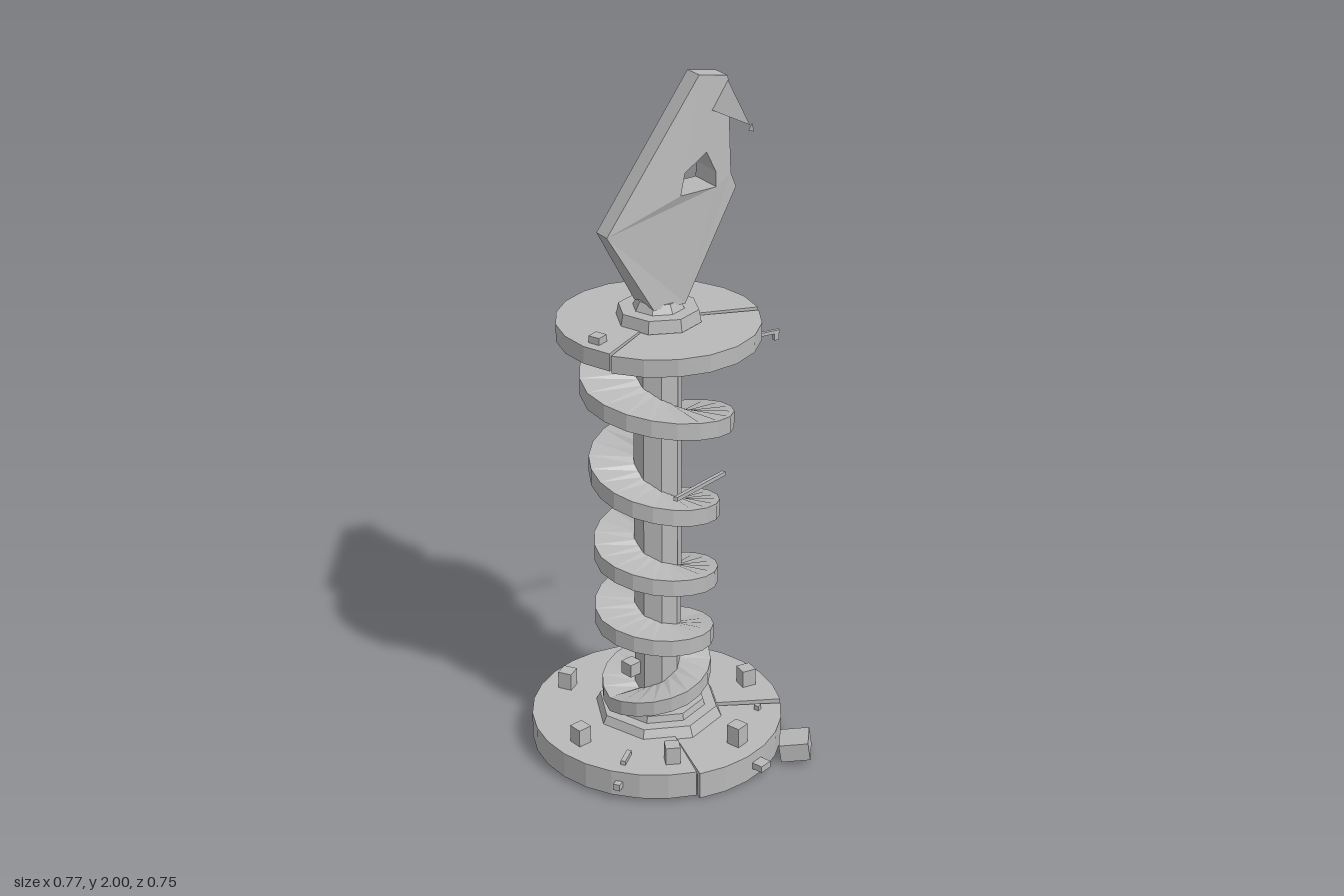
import * as THREE from 'three';

const CX = -0.015, CZ = -0.01; // axis of the column
const stone = new THREE.MeshStandardMaterial({ color: 0xb8b8b8, flatShading: true, side: THREE.DoubleSide });
stone.name = 'worn grey';

function add(parent, name, geometry, x = 0, y = 0, z = 0, ry = 0) {
  const mesh = new THREE.Mesh(geometry, stone);
  mesh.name = name;
  mesh.position.set(x, y, z);
  mesh.rotation.y = ry;
  parent.add(mesh);
  return mesh;
}

// Flat ring sector; angles in degrees run from +x towards +z, top at y = 0
function sector(rIn, rOut, from, to, sides, height) {
  const n = Math.max(1, Math.round((to - from) / 360 * sides));
  const pts = [];
  const arc = (r, i) => {
    const a = THREE.MathUtils.degToRad(from + (to - from) * i / n);
    pts.push(new THREE.Vector2(r * Math.cos(a), r * Math.sin(a)));
  };
  for (let i = 0; i <= n; i++) arc(rOut, i);
  for (let i = n; i >= 0; i--) arc(rIn, i);
  const g = new THREE.ExtrudeGeometry(new THREE.Shape(pts), { depth: height, bevelEnabled: false });
  return g.rotateX(Math.PI / 2);
}

// Spiral flight; one [height, radius] key per quarter turn, starting at +x
function flight(keys, rIn, thick) {
  const STEPS = 5, pos = [];
  const total = (keys.length - 1) * STEPS;
  const section = i => {
    const k = Math.min(Math.floor(i / STEPS), keys.length - 2), t = i / STEPS - k;
    const y = THREE.MathUtils.lerp(keys[k][0], keys[k + 1][0], t);
    const r = THREE.MathUtils.lerp(keys[k][1], keys[k + 1][1], t);
    const a = -i / STEPS * Math.PI / 2, h = thick / 2;
    return [[rIn, -h], [r, -h], [r, h], [rIn, h]]
      .map(([q, d]) => [q * Math.cos(a), y + d, q * Math.sin(a)]);
  };
  const quad = (a, b, c, d) => pos.push(...a, ...b, ...c, ...a, ...c, ...d);
  for (let i = 0; i < total; i++) {
    const A = section(i), B = section(i + 1);
    for (let j = 0; j < 4; j++) {
      const m = (j + 1) % 4;
      quad(A[j], A[m], B[m], B[j]);
    }
  }
  quad(...section(0).reverse());
  quad(...section(total));
  const g = new THREE.BufferGeometry();
  g.setAttribute('position', new THREE.Float32BufferAttribute(pos, 3));
  g.computeVertexNormals();
  return g;
}

// Thin bar between two points
function bar(parent, name, a, b, w) {
  const p = new THREE.Vector3(...a), q = new THREE.Vector3(...b);
  const mesh = add(parent, name, new THREE.BoxGeometry(w, w, p.distanceTo(q)));
  mesh.position.copy(p).add(q).multiplyScalar(0.5);
  mesh.lookAt(q);
}

// Four-cornered splinter
function shard(a, b, c, d) {
  const g = new THREE.BufferGeometry();
  g.setAttribute('position', new THREE.Float32BufferAttribute([a, b, d, b, c, d, c, a, d, a, c, b].flat(), 3));
  g.computeVertexNormals();
  return g;
}

export function createModel() {
  const model = new THREE.Group();
  model.name = 'model';

  // Hollow base, cracked into a large piece and a sunken wedge
  const base = new THREE.Group();
  base.name = 'base';
  model.add(base);
  for (const [from, to, top, low] of [[104, 385.5, 0.09, 0.012], [27, 102.5, 0.082, 0]]) {
    add(base, 'basePlate', sector(0.13, 0.366, from, to, 28, 0.014), CX - 0.004, top, CZ);
    add(base, 'baseWall', sector(0.345, 0.366, from, to, 28, top - low), CX - 0.004, top, CZ);
  }
  const collar = [[0.19, 0.083], [0.175, 0.115], [0.14, 0.115], [0.135, 0.135], [0.06, 0.135]];
  add(base, 'baseCollar', new THREE.LatheGeometry(collar.map(p => new THREE.Vector2(...p)), 8), CX, 0, CZ);

  // Square bolts
  for (const deg of [5.5, 71, 114, 171, 235, 302]) {
    const a = THREE.MathUtils.degToRad(deg);
    add(base, 'baseBolt', new THREE.BoxGeometry(0.042, 0.07, 0.042),
      CX + 0.293 * Math.cos(a), 0.108, CZ + 0.293 * Math.sin(a), -a);
  }

  // Rubble around the base
  add(base, 'looseBlock', new THREE.BoxGeometry(0.085, 0.055, 0.09), 0.255, 0.038, 0.31, -0.65).rotation.z = 0.15;
  add(base, 'rimTab', new THREE.BoxGeometry(0.025, 0.02, 0.045), 0.335, 0.045, -0.13, 0.35);
  add(base, 'rimTab', new THREE.BoxGeometry(0.04, 0.02, 0.035), 0.11, 0.04, 0.348, 0.3);
  add(base, 'rimTab', new THREE.BoxGeometry(0.022, 0.02, 0.02), -0.3, 0.05, 0.235, 0.6);
  bar(base, 'splinter', [-0.265, 0.096, 0.205], [-0.22, 0.096, 0.165], 0.014);
  add(base, 'chip', new THREE.BoxGeometry(0.015, 0.015, 0.015), 0.23, 0.09, 0.15, 0.4);

  // Column
  add(model, 'column', new THREE.CylinderGeometry(0.068, 0.068, 1.2, 8), CX, 0.7, CZ, Math.PI / 8);

  // Spiral flight winding down around the column
  const keys = [
    [1.25, 0.17], [1.2, 0.2], [1.13, 0.225], [1.07, 0.22], [1.0, 0.208], [0.92, 0.205],
    [0.85, 0.188], [0.79, 0.18], [0.73, 0.172], [0.67, 0.172], [0.615, 0.188], [0.57, 0.178],
    [0.52, 0.168], [0.455, 0.172], [0.41, 0.187], [0.375, 0.17], [0.335, 0.155], [0.325, 0.11]];
  add(model, 'spiral', flight(keys, 0.055, 0.05), CX, 0, CZ);
  const ring = [[0.26, 0.15], [0.2, 0.16], [0.15, 0.165], [0.2, 0.16], [0.26, 0.15]];
  add(model, 'lowestTurn', flight(ring, 0.055, 0.045), CX, 0, CZ);

  // Debris on the spiral
  add(model, 'chip', new THREE.BoxGeometry(0.04, 0.035, 0.04), 0.02, 0.725, -0.15, 0.3);
  add(model, 'chip', new THREE.BoxGeometry(0.04, 0.04, 0.04), -0.1, 0.245, -0.02, 0.2);
  bar(model, 'strut', [-0.06, 0.855, 0.155], [0.2, 0.802, 0], 0.012);
  bar(model, 'upperSplinter', [0.15, 1.235, 0.02], [0.25, 1.205, 0], 0.014);
  bar(model, 'upperSplinter', [0.25, 1.207, 0], [0.385, 1.2, -0.005], 0.01);
  add(model, 'splinterTip', new THREE.BoxGeometry(0.015, 0.03, 0.01), 0.375, 1.19, -0.005);

  // Upper disc, cracked in two, with an eight-sided collar and bolts
  const disc = new THREE.Group();
  disc.name = 'upperDisc';
  model.add(disc);
  add(disc, 'discPiece', sector(0.03, 0.283, 149, 377, 20, 0.05), CX + 0.003, 1.327, CZ);
  add(disc, 'discPiece', sector(0.03, 0.283, 19, 148, 20, 0.05), CX + 0.003, 1.322, CZ);
  add(disc, 'discCollar', new THREE.CylinderGeometry(0.113, 0.12, 0.036, 8), CX + 0.003, 1.342, CZ);
  add(disc, 'neck', new THREE.CylinderGeometry(0.06, 0.075, 0.03, 8), CX + 0.003, 1.37, CZ);
  add(disc, 'discBolt', new THREE.BoxGeometry(0.035, 0.03, 0.035), -0.24, 1.332, 0.05, 0.4);
  add(disc, 'discBolt', new THREE.BoxGeometry(0.035, 0.03, 0.035), 0.1, 1.332, -0.21, 0.6);

  // Pierced blade, thinner at its tip and left corner
  const outline = [[-0.06, 1.375], [0.04, 1.375], [0.2, 1.68], [0.185, 1.72], [0.185, 1.985], [0.095, 2], [-0.19, 1.6]];
  const hole = [[0.025, 1.685], [0.04, 1.744], [0.11, 1.79], [0.137, 1.733], [0.137, 1.69]];
  const toPts = list => list.map(p => new THREE.Vector2(...p));
  const shape = new THREE.Shape(toPts(outline));
  shape.holes.push(new THREE.Path(toPts(hole)));
  const blade = new THREE.ExtrudeGeometry(shape, { depth: 2, bevelEnabled: false });
  blade.translate(0, 0, -1);
  const p = blade.attributes.position, { mapLinear, clamp } = THREE.MathUtils;
  for (let i = 0; i < p.count; i++) {
    const byTip = mapLinear(clamp(p.getY(i), 1.68, 2), 1.68, 2, 0.052, 0.029);
    const bySide = mapLinear(clamp(p.getX(i), -0.19, -0.06), -0.19, -0.06, 0.027, 0.052);
    p.setZ(i, p.getZ(i) * Math.min(byTip, bySide) - 0.008);
  }
  blade.computeVertexNormals();
  add(model, 'blade', blade);

  // Splinter sticking out of the blade's front
  const tip = [0.16, 1.892, 0.165];
  add(model, 'bladeSplinter', shard([0.13, 1.9, 0.02], [0.185, 1.975, 0.018], [0.18, 1.89, 0.022], tip));
  add(model, 'bladeSplinterTip', new THREE.ConeGeometry(0.01, 0.02, 3), 0.16, 1.89, 0.175);
  return model;
}
